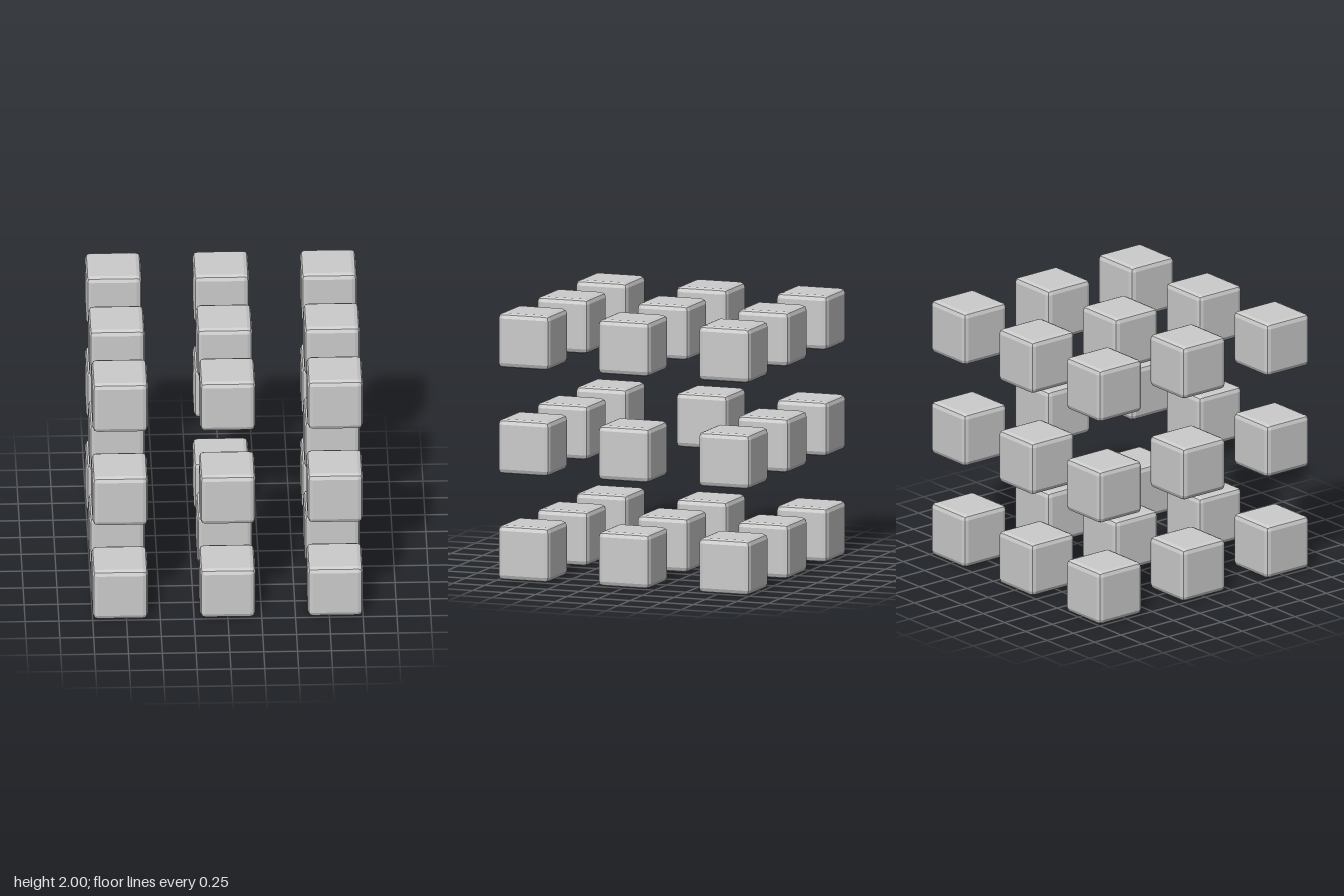
import * as THREE from 'three';
import { RoundedBoxGeometry } from 'three/addons/geometries/RoundedBoxGeometry.js';

const SIZE = 0.41;               // edge of one cube
const STEP = 1 - SIZE / 2;       // spacing between cube centres

export function createModel() {
  const model = new THREE.Group();
  model.name = 'cubeLattice';

  // One bevelled cube shared by the whole lattice
  const cube = new RoundedBoxGeometry(SIZE, SIZE, SIZE, 1, 0.038);
  const material = new THREE.MeshStandardMaterial({ color: 0xcccccc, flatShading: true });

  const layerNames = ['bottomLayer', 'middleLayer', 'topLayer'];
  for (let j = -1; j <= 1; j++) {
    const layer = new THREE.Group();
    layer.name = layerNames[j + 1];
    layer.position.y = 1 + j * STEP;
    for (let i = -1; i <= 1; i++) {
      for (let k = -1; k <= 1; k++) {
        if (i === 0 && j === 0 && k === 0) continue; // hollow core
        const mesh = new THREE.Mesh(cube, material);
        mesh.name = 'cube';
        mesh.position.set(i * STEP, 0, k * STEP);
        layer.add(mesh);
      }
    }
    model.add(layer);
  }
  return model;
}
